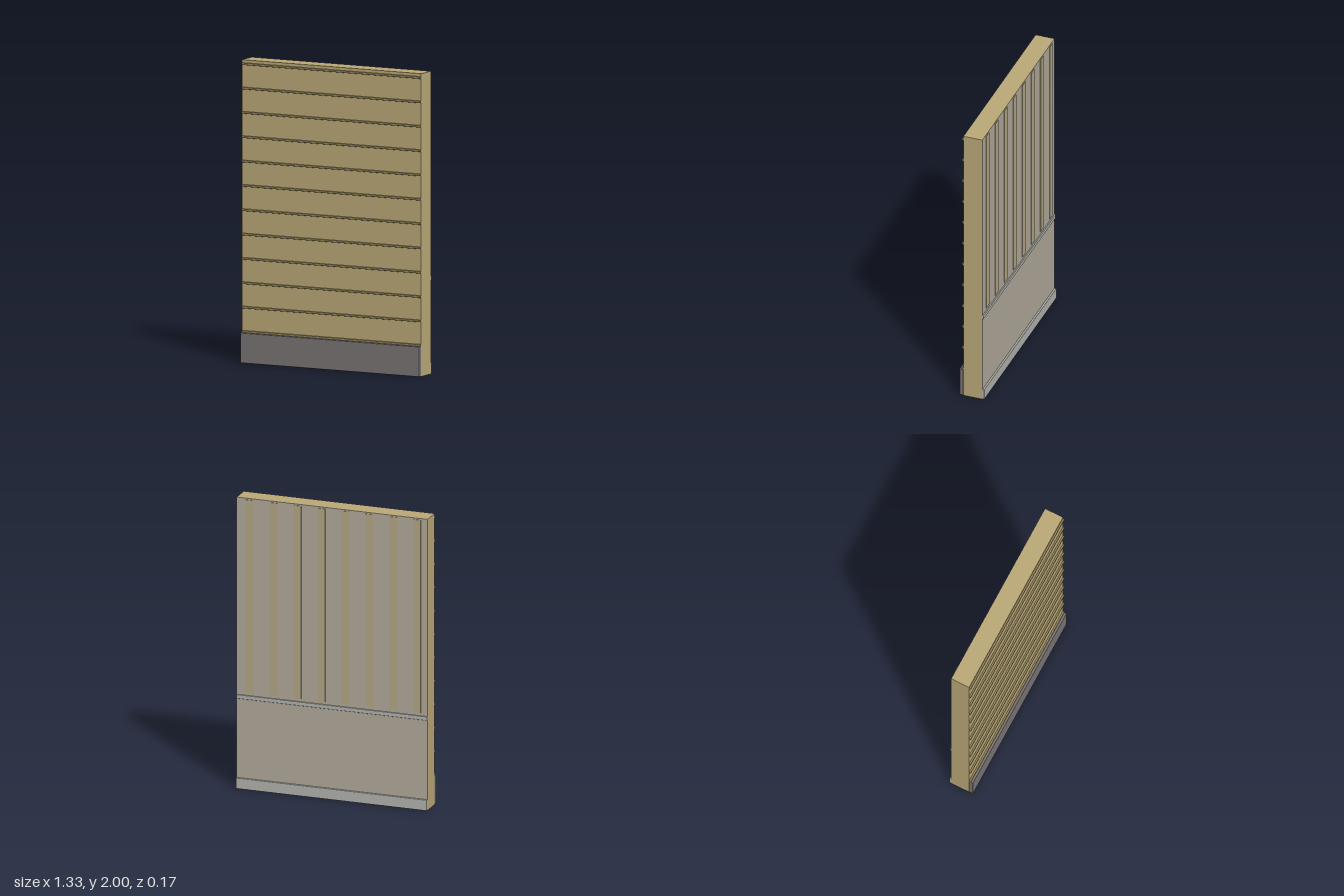
import * as THREE from 'three';
import { RoundedBoxGeometry } from 'three/addons/geometries/RoundedBoxGeometry.js';

const W = 1.333, H = 2;
const FRONT = 0.059, BACK = -0.073;

const mat = (color) => new THREE.MeshStandardMaterial({ color });
const tan = mat(0xbcaa78);
const darkTan = mat(0x9a8a5e);
const stripTan = mat(0xb5a986);
const panelGrey = mat(0xb3ac9c);
const trimGrey = mat(0xb4b4b0);
const baseGrey = mat(0x7c7676);

// Box given by centre x, width and its y and z ranges; radius rounds the edges
function slab(name, material, x, w, [y0, y1], [z0, z1], radius = 0) {
  const h = y1 - y0, d = z1 - z0;
  const geometry = radius
    ? new RoundedBoxGeometry(w, h, d, 2, radius)
    : new THREE.BoxGeometry(w, h, d);
  const mesh = new THREE.Mesh(geometry, material);
  mesh.name = name;
  mesh.position.set(x, (y0 + y1) / 2, (z0 + z1) / 2);
  return mesh;
}

export function createModel() {
  const model = new THREE.Group();
  model.name = 'wallPanel';

  // Wall body and the thin lining on its back
  model.add(slab('wall', tan, 0, W, [0, H], [BACK + 0.002, FRONT]));
  model.add(slab('backLining', panelGrey, 0, W, [0, H], [BACK, BACK + 0.002]));

  // Front: horizontal cladding battens above a plinth
  const battens = new THREE.Group();
  battens.name = 'claddingBattens';
  for (let i = 0; i < 12; i++) {
    const y = 0.206 + i * 0.1607;
    battens.add(slab('batten', darkTan, 0, W, [y - 0.007, y + 0.007], [FRONT - 0.002, 0.071], 0.003));
  }
  model.add(battens);
  model.add(slab('plinth', baseGrey, 0, W, [0, 0.2], [FRONT, 0.087], 0.005));

  // Back: vertical strips, a dado rail and a skirting board
  const strips = new THREE.Group();
  strips.name = 'wallStrips';
  for (let i = 0; i < 8; i++) {
    strips.add(slab('strip', stripTan, -0.595 + i * 0.167, 0.052, [0.665, 1.99], [BACK - 0.004, BACK + 0.001]));
  }
  model.add(strips);
  model.add(slab('dadoRail', trimGrey, 0, W, [0.618, 0.646], [BACK - 0.009, BACK + 0.001], 0.003));
  model.add(slab('skirtingBoard', trimGrey, 0, W, [0, 0.075], [-0.087, BACK + 0.001], 0.004));

  return model;
}
